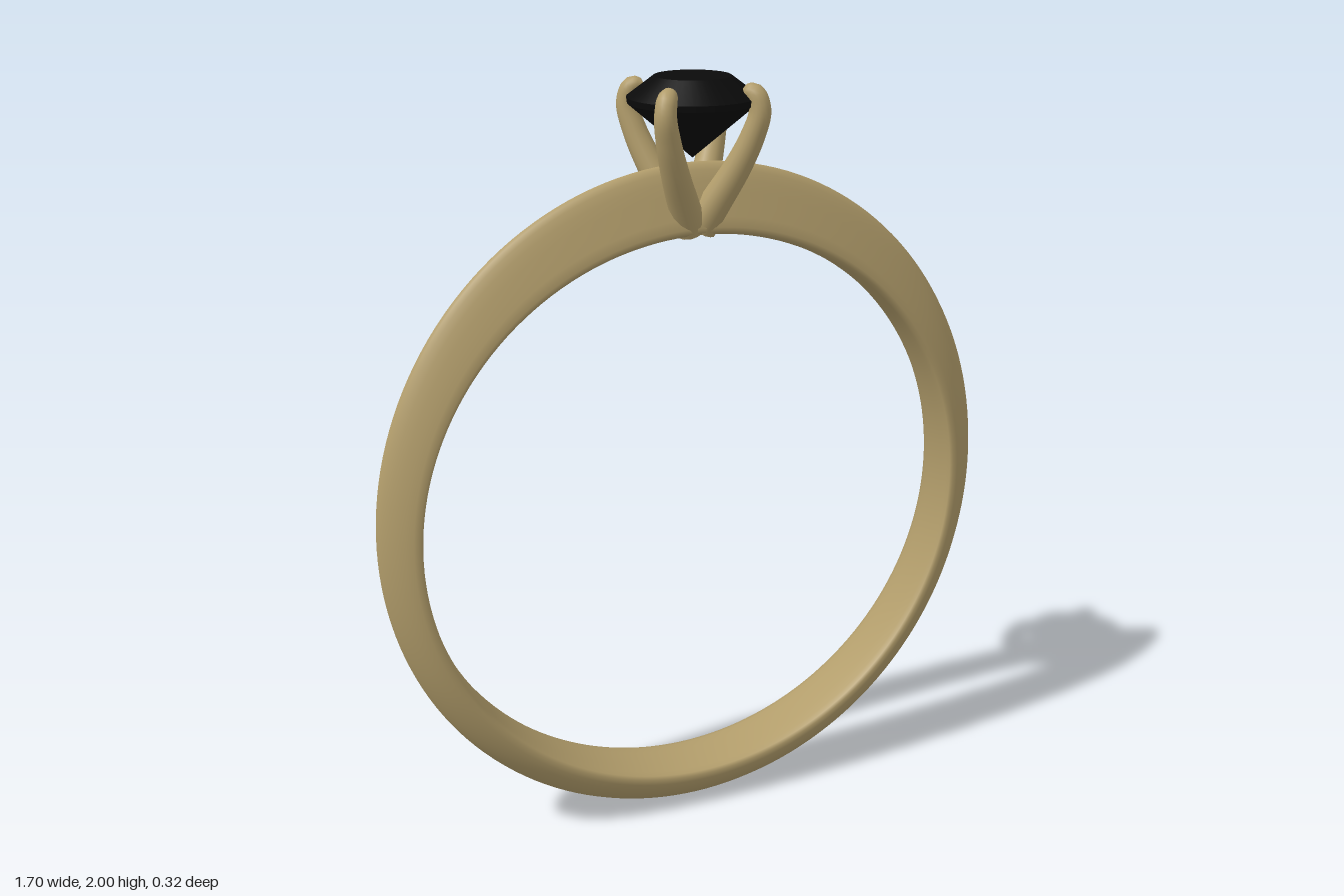
import * as THREE from 'three';

// Closed-section surface: point(i, j) gives a vertex, j runs round the section.
function loft(rows, cols, closed, point) {
  const pos = [], index = [];
  for (let i = 0; i < rows; i++)
    for (let j = 0; j < cols; j++) pos.push(...point(i, j));
  const spans = closed ? rows : rows - 1;
  for (let i = 0; i < spans; i++)
    for (let j = 0; j < cols; j++) {
      const i2 = (i + 1) % rows, j2 = (j + 1) % cols;
      const a = i * cols + j, b = i * cols + j2, c = i2 * cols + j, d = i2 * cols + j2;
      index.push(a, b, c, b, d, c);
    }
  const g = new THREE.BufferGeometry();
  g.setAttribute('position', new THREE.Float32BufferAttribute(pos, 3));
  g.setIndex(index);
  g.computeVertexNormals();
  return g;
}

const mix = THREE.MathUtils.lerp;

// Band: round bore, slightly taller outside, narrowing toward the setting.
function bandGeometry() {
  // [radial fraction, half width low on the ring, half width at the top]
  const half = [
    [0, 0, 0], [0.005, 0.4, 0.4], [0.03, 0.75, 0.78], [0.07, 0.93, 0.94], [0.14, 1, 1],
    [0.28, 0.98, 0.88], [0.45, 0.88, 0.72], [0.62, 0.73, 0.57], [0.78, 0.53, 0.42],
    [0.9, 0.32, 0.28], [0.97, 0.14, 0.15], [1, 0, 0],
  ];
  const mirrored = half.slice(1, -1).reverse().map(([u, a, b]) => [u, -a, -b]);
  const section = [...half, ...mirrored];
  const steps = 160;
  return loft(steps, section.length, true, (i, j) => {
    const t = (i / steps) * Math.PI * 2, c = Math.cos(t), s = Math.sin(t);
    const [u, low, high] = section[j];
    const x = mix(0.745, 0.85, u) * c;
    const y = mix(0.865 + 0.745 * s, 0.895 + 0.895 * s, u);
    const k = (s + 1) / 2;
    const width = mix(0.09, 0.061, k);
    return [x, y, width * mix(low, high, k * k)];
  });
}

// Prong: tapered claw in a vertical plane, curling over the stone.
function prongGeometry() {
  const path = new THREE.CatmullRomCurve3([
    [0.02, 1.63], [0.065, 1.7], [0.115, 1.78], [0.155, 1.86], [0.174, 1.925], [0.16, 1.965], [0.128, 1.972],
  ].map(([r, y]) => new THREE.Vector3(r, y, 0)));
  const side = new THREE.Vector3(0, 0, 1), rows = 40, cols = 16;
  return loft(rows, cols, false, (i, j) => {
    const t = i / (rows - 1), a = (j / cols) * Math.PI * 2;
    const tip = Math.sqrt(Math.max(0, 1 - Math.pow(Math.max(0, (t - 0.88) / 0.12), 2)));
    const radius = mix(0.044, 0.026, Math.min(1, t * 1.15)) * tip;
    const normal = path.getTangentAt(t).cross(side);
    return path.getPointAt(t)
      .addScaledVector(side, Math.cos(a) * radius)
      .addScaledVector(normal, Math.sin(a) * radius).toArray();
  });
}

// Stone: one lathe per facet zone so the girdle and table edges stay crisp.
function createStone(material) {
  const stone = new THREE.Group();
  stone.name = 'stone';
  const zones = {
    pavilion: [[0, 1.8], [0.16, 1.935]],
    girdle: [[0.16, 1.935], [0.162, 1.95]],
    crown: [[0.162, 1.95], [0.095, 2]],
    table: [[0.095, 2], [0, 2]],
  };
  for (const [name, pts] of Object.entries(zones)) {
    const mesh = new THREE.Mesh(
      new THREE.LatheGeometry(pts.map(([r, y]) => new THREE.Vector2(r, y)), 48), material);
    mesh.name = name;
    stone.add(mesh);
  }
  return stone;
}

export function createModel() {
  const gold = new THREE.MeshStandardMaterial({ color: 0xb29d6b });
  gold.name = 'gold';
  const black = new THREE.MeshStandardMaterial({ color: 0x0a0a0a });
  black.name = 'black stone';

  const ring = new THREE.Group();
  ring.name = 'ring';

  const band = new THREE.Mesh(bandGeometry(), gold);
  band.name = 'band';
  ring.add(band);

  // Four claws on the diagonals
  const setting = new THREE.Group();
  setting.name = 'setting';
  const claw = prongGeometry();
  for (let i = 0; i < 4; i++) {
    const prong = new THREE.Mesh(claw, gold);
    prong.name = 'prong' + (i + 1);
    prong.rotation.y = Math.PI / 4 + (i * Math.PI) / 2;
    setting.add(prong);
  }
  ring.add(setting, createStone(black));
  return ring;
}
